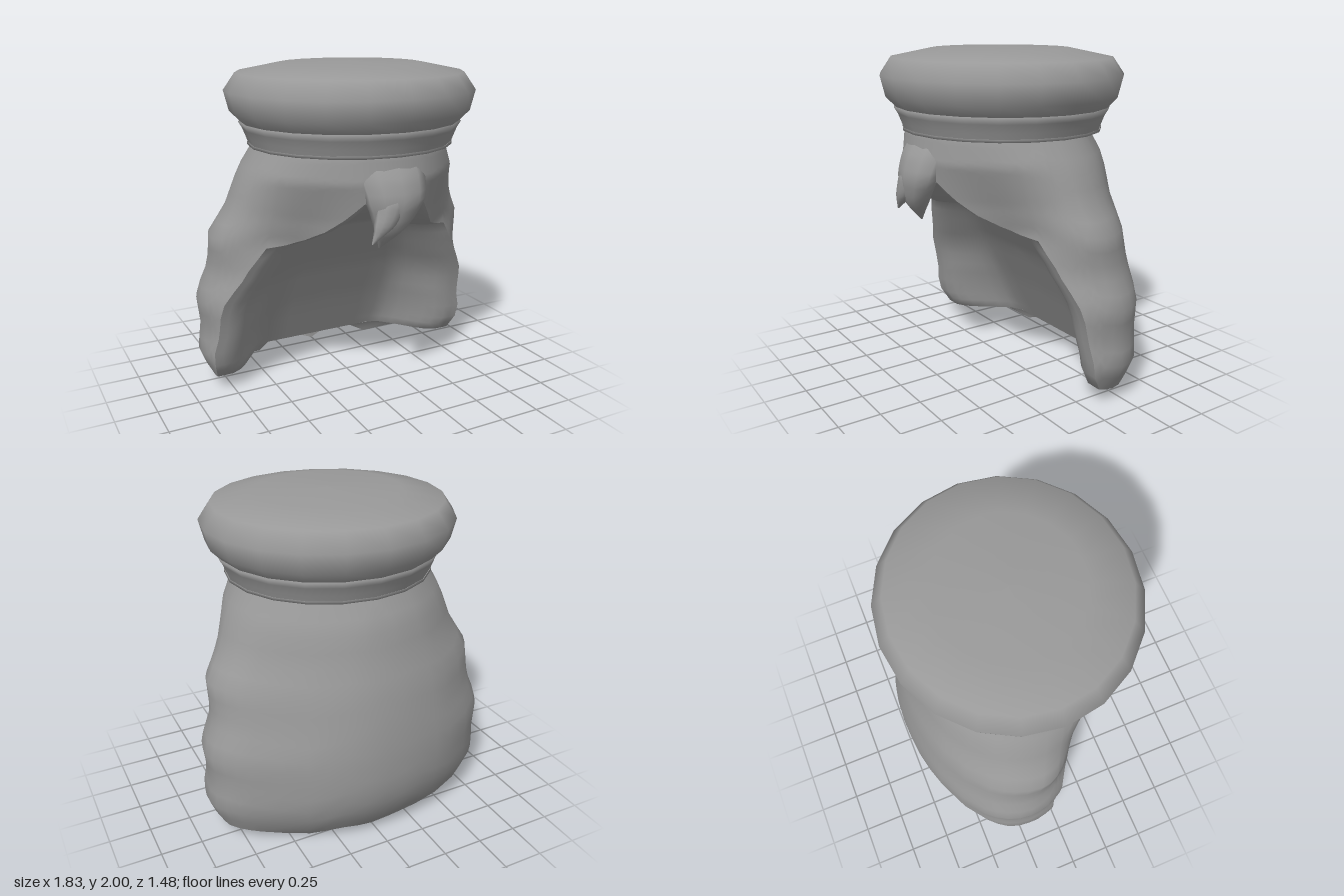
import * as THREE from 'three';

// Linear lookup in rows sorted by their first number
function lookup(rows, k, col = 1) {
  if (k <= rows[0][0]) return rows[0][col];
  for (let i = 1; i < rows.length; i++) {
    const a = rows[i - 1], b = rows[i];
    if (k <= b[0]) return THREE.MathUtils.lerp(a[col], b[col], (k - a[0]) / (b[0] - a[0]));
  }
  return rows[rows.length - 1][col];
}

// Hair outline by height: y, half width, back z, centre z, front z, pinch of the front corners
const OUTLINE = [
  [0, 0.78, -0.55, -0.2, 0.5, 0], [0.1, 0.86, -0.64, -0.2, 0.52, 0], [0.25, 0.92, -0.71, -0.2, 0.58, 0],
  [0.4, 0.895, -0.735, -0.2, 0.58, 0.04], [0.6, 0.92, -0.73, -0.19, 0.59, 0.1], [0.78, 0.845, -0.71, -0.16, 0.6, 0.14],
  [1.0, 0.845, -0.67, -0.1, 0.58, 0.24], [1.15, 0.75, -0.625, -0.06, 0.59, 0.16], [1.38, 0.67, -0.57, -0.02, 0.62, 0.04],
  [1.52, 0.59, -0.48, 0, 0.6, 0], [1.6, 0.56, -0.46, 0, 0.57, 0],
];

// Lower edge of the hair by angle from the front: degrees, y
const HEM = [
  [0, 1.285], [15, 1.27], [23, 1.17], [31, 1.09], [41, 1.03], [51, 0.99], [60, 0.97], [66, 0.83], [69.5, 0.7],
  [73, 0.53], [75, 0.38], [77, 0.2], [81, 0.1], [90, 0.07], [106, 0.08], [120, 0.06],
  [148, 0.01], [165, 0.075], [180, 0.005],
];

// Depth of the sloping inner face by height
const INNER = [[0.05, -0.45], [0.4, -0.28], [0.7, -0.12], [1.03, 0.1], [1.15, 0.34], [1.29, 0.55]];

function hairPoint(deg, y) {
  const a = THREE.MathUtils.degToRad(deg), front = Math.cos(a) > 0;
  const zc = lookup(OUTLINE, y, 3);
  const reach = front ? lookup(OUTLINE, y, 4) - zc : zc - lookup(OUTLINE, y, 2);
  const flat = deg > 0 ? 0.09 * Math.min(1, (1.6 - y) / 0.6) : 0; // flatter left rear
  const scale = 1 - (front ? lookup(OUTLINE, y, 5) : flat) * Math.sin(2 * a) ** 2;
  return [Math.sin(a) * scale * lookup(OUTLINE, y), y, zc + Math.cos(a) * scale * reach];
}

// Point on the way from the hem to the middle of the inner face
function innerPoint(deg, hem, f) {
  const [x, , z] = hairPoint(deg, hem);
  const y = THREE.MathUtils.lerp(hem, Math.max(hem, 0.1), Math.min(1, f * 4));
  return [x * (1 - f), y, THREE.MathUtils.lerp(z, lookup(INNER, y), THREE.MathUtils.smoothstep(f, 0.1, 0.55))];
}

// Surface through a list of closed loops, its diagonals mirrored left to right
function skin(loops) {
  const n = loops[0].length, index = [];
  for (let j = 0; j < loops.length - 1; j++) {
    for (let i = 0; i < n; i++) {
      const a = j * n + i, b = j * n + (i + 1) % n, c = a + n, d = b + n;
      if (i < n / 2) index.push(a, c, b, b, c, d);
      else index.push(a, c, d, a, d, b);
    }
  }
  const g = new THREE.BufferGeometry();
  g.setAttribute('position', new THREE.Float32BufferAttribute(loops.flat(2), 3));
  g.setIndex(index);
  g.computeVertexNormals();
  return g;
}

// Outer surface down to the hem, and the inner face closing it
function hairSurfaces() {
  const half = [];
  for (let i = 0; i < HEM.length - 1; i++) {
    for (let s = 0; s < 2; s++) half.push(THREE.MathUtils.lerp(HEM[i][0], HEM[i + 1][0], s / 2));
  }
  half.push(180);
  const angles = [...half, ...half.slice(1, -1).reverse().map(d => -d)];
  const hem = d => lookup(HEM, Math.abs(d));
  const outer = [], inner = [], rows = 18;
  for (let j = 0; j <= rows; j++) {
    outer.push(angles.map(d => hairPoint(d, THREE.MathUtils.lerp(1.58, hem(d), j / rows))));
  }
  for (const f of [0, 0.06, 0.12, 0.19, 0.25, 0.32, 0.39, 0.46, 0.55, 0.7, 0.85, 1]) {
    inner.push(angles.map(d => innerPoint(d, hem(d), f)));
  }
  return [skin(outer), skin(inner)];
}

// Tapered tuft; stations are x, y, z, half width, half depth
function tuft(stations) {
  const curve = new THREE.CatmullRomCurve3(stations.map(s => new THREE.Vector3(s[0], s[1], s[2])));
  const rows = stations.map((s, i) => [i / (stations.length - 1), s[3], s[4]]);
  const loops = [], n = 10, steps = 12;
  for (let j = 0; j <= steps; j++) {
    const f = j / steps, p = curve.getPoint(f), loop = [];
    for (let i = 0; i < n; i++) {
      const a = i / n * Math.PI * 2;
      loop.push([p.x + Math.sin(a) * lookup(rows, f, 1), p.y, p.z + Math.cos(a) * lookup(rows, f, 2)]);
    }
    loops.push(loop);
  }
  return skin(loops);
}

export function createModel() {
  const group = new THREE.Group();
  const grey = new THREE.MeshStandardMaterial({ color: 0x999999, side: THREE.DoubleSide });
  grey.name = 'grey';
  const add = (name, geometry, parent = group) => {
    const mesh = new THREE.Mesh(geometry, grey);
    mesh.name = name;
    parent.add(mesh);
  };
  const lathe = points => new THREE.LatheGeometry(points.map(p => new THREE.Vector2(...p)), 20);

  // Hat: soft crown over a flared band, a little wider than deep
  const hat = new THREE.Group();
  hat.name = 'hat';
  hat.position.set(0.01, 0, 0.025);
  hat.scale.z = 0.955;
  group.add(hat);
  add('hatCrown', lathe([[0.655, 1.655], [0.72, 1.72], [0.75, 1.84], [0.68, 1.94], [0.43, 1.99], [0, 2]]), hat);
  add('hatBand', lathe([[0.615, 1.535], [0.628, 1.57], [0.648, 1.62], [0.67, 1.655], [0.64, 1.665]]), hat);
  add('hatBandRim', lathe([[0.54, 1.53], [0.59, 1.518], [0.62, 1.52], [0.62, 1.537]]), hat);

  // Hair with side locks, scalloped back hem and parted fringe
  const [outer, inner] = hairSurfaces();
  add('hairOuter', outer);
  add('hairInner', inner);
  add('fringeTuft', tuft([[0, 1.56, 0.45, 0.22, 0.08], [0, 1.41, 0.54, 0.21, 0.105], [0, 1.28, 0.59, 0.185, 0.095],
    [-0.03, 1.12, 0.59, 0.1, 0.06], [-0.07, 1.0, 0.54, 0.005, 0.005]]));
  add('fringeTuftTip', tuft([[-0.02, 1.45, 0.54, 0.05, 0.06], [-0.04, 1.28, 0.61, 0.1, 0.07],
    [-0.09, 1.16, 0.64, 0.07, 0.04], [-0.17, 1.06, 0.64, 0.005, 0.005]]));
  return group;
}
